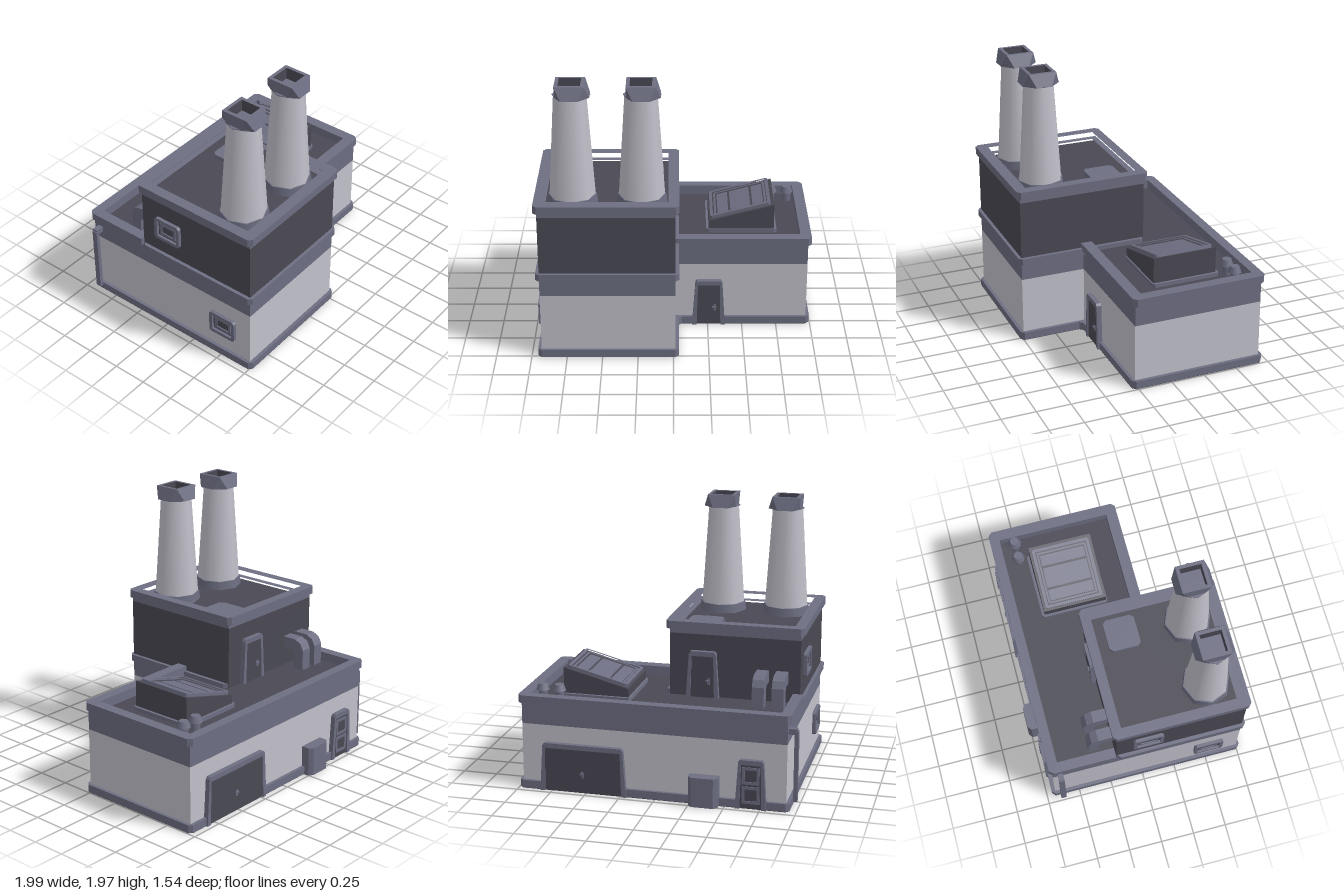
import * as THREE from 'three';

const mat = (name, color) => {
  const m = new THREE.MeshStandardMaterial({ color });
  m.name = name;
  return m;
};

export function createModel() {
  const model = new THREE.Group();
  model.name = 'factory';
  const light = mat('pale wall', 0xc2c1cb);
  const trim = mat('slate trim', 0x6d6e82);
  const dark = mat('charcoal', 0x4a4954);

  const add = (name, geo, m, parent = model) => {
    const mesh = new THREE.Mesh(geo, m);
    mesh.name = name;
    parent.add(mesh);
    return mesh;
  };
  const box = (name, m, x0, x1, y0, y1, z0, z1, parent) => {
    const g = new THREE.BoxGeometry(x1 - x0, y1 - y0, z1 - z0);
    return add(name, g.translate((x0 + x1) / 2, (y0 + y1) / 2, (z0 + z1) / 2), m, parent);
  };
  // Cut every corner of a closed outline by distance c
  const chamfer = (pts, c) => pts.flatMap((p, i) => {
    const v = new THREE.Vector2(...p);
    return [pts.at(i - 1), pts[(i + 1) % pts.length]].map((q) => {
      const d = new THREE.Vector2(...q).sub(v).setLength(c);
      return [v.x + d.x, v.y + d.y];
    });
  });
  const shape = (pts, hole) => {
    const s = new THREE.Shape(pts.map((p) => new THREE.Vector2(...p)));
    if (hole) s.holes.push(new THREE.Path(hole.map((p) => new THREE.Vector2(...p))));
    return s;
  };
  const extrude = (pts, depth, hole) =>
    new THREE.ExtrudeGeometry(shape(pts, hole), { depth, bevelEnabled: false });
  const rect = (x0, x1, z0, z1) => [[x0, z0], [x1, z0], [x1, z1], [x0, z1]];
  // Plan outline in (x, z), raised from y0 to y1
  const flip = (pts) => pts && pts.map(([x, z]) => [x, -z]);
  const slab = (name, m, pts, y0, y1, hole, parent) =>
    add(name, extrude(flip(pts), y1 - y0, flip(hole)).rotateX(-Math.PI / 2).translate(0, y0, 0), m, parent);

  // L-shaped footprint grown outward by o
  const footprint = (o) => [
    [-0.93 - o, -0.685 - o], [0.97 + o, -0.685 - o], [0.97 + o, 0.268 + o],
    [0.015 + o, 0.268 + o], [0.015 + o, 0.745 + o], [-0.93 - o, 0.745 + o],
  ];

  // Ground floor
  slab('underside', dark, chamfer(footprint(0.022), 0.025), 0, 0.004);
  slab('plinth', trim, chamfer(footprint(0.024), 0.025), 0.004, 0.06);
  slab('lowerWall', light, footprint(0), 0.06, 0.48);
  slab('wallBand', trim, footprint(0), 0.48, 0.61);
  slab('lowRoof', dark, footprint(-0.002), 0.61, 0.622);
  slab('lowParapetWall', trim, [
    [-0.93, -0.21], [-0.93, -0.685], [0.97, -0.685], [0.97, 0.268], [0.015, 0.268], [0.015, 0.205],
    [0.915, 0.205], [0.915, -0.635], [-0.88, -0.635], [-0.88, -0.21],
  ], 0.61, 0.637);
  slab('lowParapet', trim, [
    [-0.955, -0.21], [-0.955, -0.68], [-0.93, -0.708], [0.968, -0.708], [0.995, -0.68],
    [0.995, 0.26], [0.97, 0.287], [0.01, 0.287], [0.01, 0.205],
    [0.915, 0.205], [0.915, -0.635], [-0.88, -0.635], [-0.88, -0.21],
  ], 0.635, 0.692);

  // Tower storey
  slab('towerLedge', trim, chamfer(rect(-0.955, 0.04, -0.2, 0.768), 0.025), 0.605, 0.655);
  box('towerWall', dark, -0.93, 0.015, 0.62, 1.08, -0.205, 0.745);
  const towerHole = rect(-0.88, -0.035, -0.16, 0.685);
  slab('towerRoof', dark, rect(-0.9, -0.01, -0.19, 0.72), 1.08, 1.095);
  slab('towerBand', trim, rect(-0.93, 0.015, -0.205, 0.745), 1.08, 1.116, towerHole);
  slab('towerParapet', trim, chamfer(rect(-0.955, 0.04, -0.232, 0.768), 0.025), 1.115, 1.172, towerHole);
  slab('roofHatch', trim, chamfer(rect(-0.31, -0.07, -0.085, 0.145), 0.025), 1.09, 1.125);

  // Chimney cap: octagonal skirt narrowing to a square rim around a square flue
  const capGeometry = () => {
    const rings = [[], [], [], []];
    for (let i = 0; i < 8; i++) {
      const a = (i / 8) * Math.PI * 2 + Math.PI / 8;
      const sx = Math.sign(Math.cos(a)), sz = Math.sign(Math.sin(a));
      const corner = (h, y) => [sx * h, y, sz * h];
      rings[0].push([Math.max(-0.1, Math.cos(a) * 0.145), 1.88, Math.sin(a) * 0.145]);
      rings[1].push(corner(0.1, 1.972));
      rings[2].push(corner(0.075, 1.972));
      rings[3].push(corner(0.075, 1.8));
    }
    const build = (from, to) => {
      const p = [];
      for (let r = from; r < to; r++) for (let i = 0; i < 8; i++) {
        const j = (i + 1) % 8;
        const [a, b, c, d] = [rings[r][i], rings[r][j], rings[r + 1][j], rings[r + 1][i]];
        p.push(...a, ...c, ...b, ...a, ...d, ...c);
      }
      const g = new THREE.BufferGeometry();
      g.setAttribute('position', new THREE.Float32BufferAttribute(p, 3));
      g.computeVertexNormals();
      return g;
    };
    return [build(0, 2), build(2, 3)];
  };
  for (const x of [-0.695, -0.217]) {
    const g = new THREE.Group();
    g.name = 'chimney';
    g.position.set(x, 0, 0.507);
    model.add(g);
    add('chimneyCollar', new THREE.CylinderGeometry(0.168, 0.175, 0.065, 8).translate(0, 1.125, 0), trim, g);
    add('chimneyStack', new THREE.CylinderGeometry(0.112, 0.16, 0.74, 8, 1, true).translate(0, 1.515, 0), light, g);
    const [shell, flue] = capGeometry();
    add('chimneyCap', shell, trim, g);
    add('chimneyFlue', flue, dark, g);
    add('capUnderside', new THREE.CylinderGeometry(0.13, 0.13, 0.006, 8).translate(0.008, 1.884, 0), trim, g);
    add('flueFloor', new THREE.BoxGeometry(0.15, 0.01, 0.15).translate(0, 1.8, 0), dark, g);
  }

  // Sloping skylight
  slab('skylightFlashing', trim, chamfer(rect(0.24, 0.755, -0.465, 0.04), 0.015), 0.615, 0.65);
  add('skylightBox', extrude([[0.258, 0.62], [0.735, 0.62], [0.735, 0.838], [0.258, 0.712]], 0.475)
    .translate(0, 0, -0.445), dark);
  const sky = new THREE.Group();
  sky.name = 'skylightTop';
  sky.position.set(0.493, 0.773, -0.21);
  sky.rotation.z = 0.258;
  model.add(sky);
  const ring = (name, w, d, t, h) => slab(name, trim, chamfer(rect(-w, w, -d, d), 0.012), 0, h,
    rect(-w + t, w - t, -d + t, d - t), sky);
  ring('skylightFrame', 0.226, 0.218, 0.022, 0.024);
  ring('skylightInnerFrame', 0.196, 0.19, 0.015, 0.016);
  for (const [a, b] of [[-0.172, -0.092], [-0.075, 0.075], [0.092, 0.172]])
    box('skylightPane', trim, a, b, 0, 0.008, -0.168, 0.168, sky);

  // Roof vents
  for (const x of [0.74, 0.862]) {
    add('ventStem', new THREE.CylinderGeometry(0.033, 0.033, 0.09, 8).translate(x, 0.66, -0.53), trim);
    add('ventHead', new THREE.CylinderGeometry(0.034, 0.05, 0.046, 8).translate(x, 0.715, -0.53), trim);
  }

  // Bent ducts from the tower to the low roof
  const duct = [[0, 0.85], [0.11, 0.85], [0.16, 0.825], [0.185, 0.775], [0.185, 0.62],
    [0.105, 0.62], [0.105, 0.74], [0.085, 0.765], [0, 0.765]];
  for (const x of [-0.845, -0.705])
    add('roofDuct', extrude(duct, 0.085).rotateY(Math.PI / 2).translate(x, 0, -0.205), trim);

  // Doors, facing +z before turning
  const door = (name, x, y, z, turn, half, handleX) => {
    const g = new THREE.Group();
    g.name = name;
    g.position.set(x, y, z);
    g.rotation.y = turn;
    model.add(g);
    const t = half - 0.022, i = half - 0.033;
    add('doorFrame', extrude([[-half, 0], [-i, 0], [-i + 0.008, 0.322], [i - 0.008, 0.322], [i, 0],
      [half, 0], [t, 0.34], [t - 0.012, 0.357], [-t + 0.012, 0.357], [-t, 0.34]].reverse(), 0.036), trim, g);
    box('doorPanel', dark, -i, i, 0.003, 0.33, 0, 0.027, g);
    if (handleX !== null) {
      box('handlePlate', trim, handleX - 0.01, handleX + 0.01, 0.115, 0.16, 0.026, 0.031, g);
      box('handle', trim, handleX - 0.02, handleX + 0.012, 0.138, 0.15, 0.03, 0.04, g);
    }
    return g;
  };
  door('frontDoor', 0.257, 0, 0.268, 0, 0.12, 0.045);
  door('towerDoor', -0.23, 0.605, -0.205, Math.PI, 0.12, 0.045);
  door('garageDoor', 0.52, 0, -0.685, Math.PI, 0.315, 0);
  const panelled = door('backDoor', -0.685, 0, -0.685, Math.PI, 0.11, null);
  for (const [y0, y1] of [[0.04, 0.165], [0.18, 0.305]])
    add('doorPanelMoulding', extrude(rect(-0.062, 0.062, y0, y1), 0.007,
      rect(-0.042, 0.042, y0 + 0.02, y1 - 0.02)).translate(0, 0, 0.026), trim, panelled);

  // Side windows
  for (const [y, z] of [[0.868, 0.03], [0.27, 0.51]]) {
    const g = new THREE.Group();
    g.name = 'sideWindow';
    g.position.set(-0.93, y, z);
    g.rotation.y = -Math.PI / 2;
    model.add(g);
    add('windowFrame', extrude(chamfer(rect(-0.11, 0.11, -0.088, 0.088), 0.015), 0.025,
      rect(-0.085, 0.085, -0.063, 0.063)), trim, g);
    box('windowGlass', dark, -0.09, 0.09, -0.068, 0.068, 0, 0.006, g);
    add('windowInnerFrame', extrude(rect(-0.07, 0.07, -0.048, 0.048), 0.014,
      rect(-0.05, 0.05, -0.03, 0.03)), trim, g);
  }

  // Drainpipe and rear utility box
  box('drainpipe', trim, -0.998, -0.97, 0.06, 0.57, -0.65, -0.61);
  box('drainpipeElbow', trim, -0.99, -0.92, 0.545, 0.585, -0.65, -0.61);
  slab('utilityBox', trim, [[-0.46, -0.68], [-0.46, -0.745], [-0.432, -0.77], [-0.278, -0.77],
    [-0.25, -0.745], [-0.25, -0.68]], 0, 0.215);

  return model;
}
